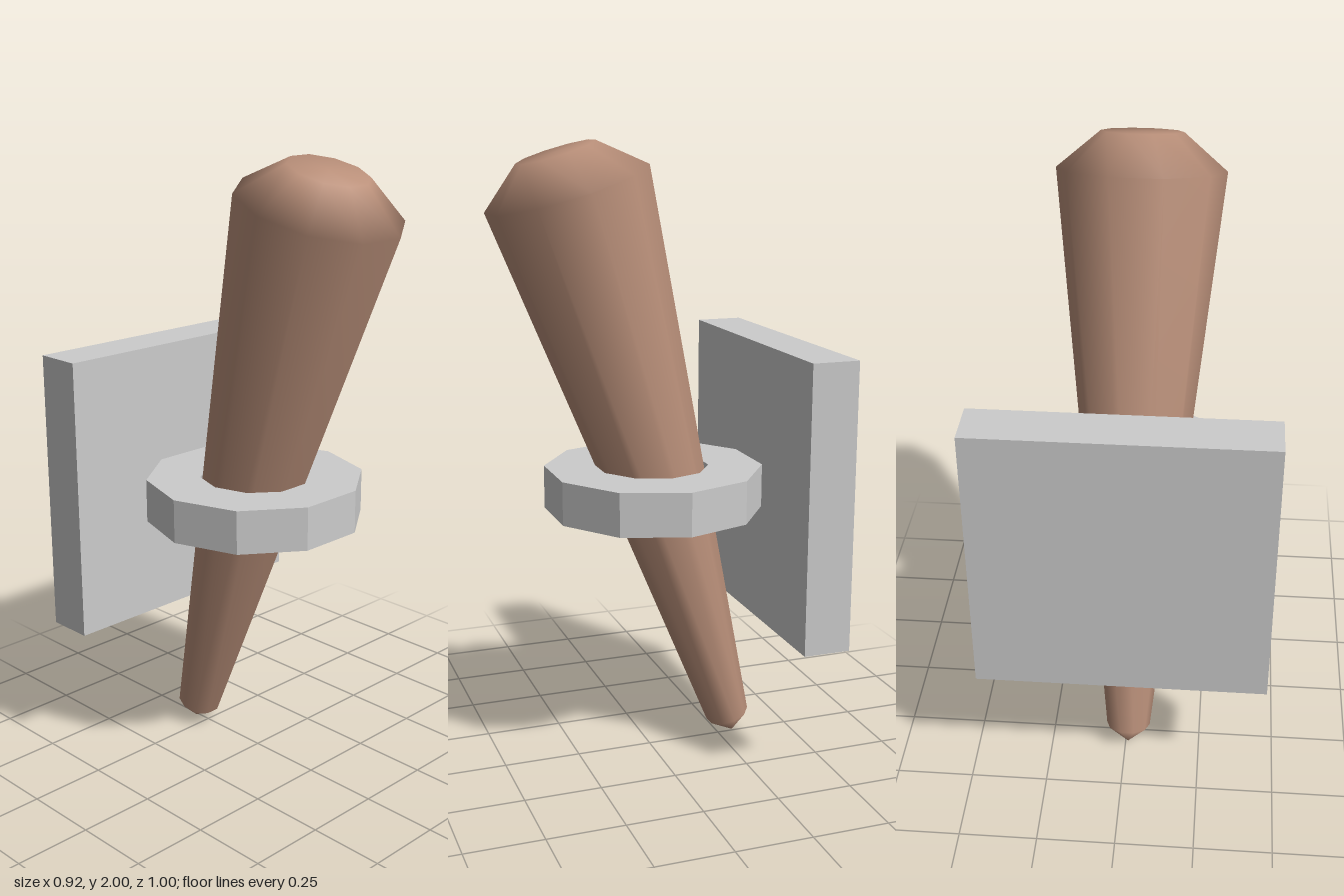
import * as THREE from 'three';

const SIDES = 10;

// Ten-sided turned form with corners on the x axis; profile is [radius, height] pairs
function turned(profile) {
  const points = profile.map(([r, y]) => new THREE.Vector2(r, y));
  return new THREE.LatheGeometry(points, SIDES, Math.PI / 2);
}

export function createModel() {
  const model = new THREE.Group();
  model.name = 'wallTorch';

  const metal = new THREE.MeshStandardMaterial({ color: 0xcccccc, flatShading: true });
  const wood = new THREE.MeshStandardMaterial({ color: 0xba907a });

  function add(name, geometry, material, x, y, z) {
    const mesh = new THREE.Mesh(geometry, material);
    mesh.name = name;
    mesh.position.set(x, y, z);
    model.add(mesh);
    return mesh;
  }

  // Square plate against the wall
  add('wallPlate', new THREE.BoxGeometry(0.92, 0.92, 0.153), metal, 0, 0.905, -0.4235);

  // Flat ring that holds the shaft
  const ring = [[0.178, 0.07], [0.178, -0.07], [0.352, -0.07], [0.352, 0.07], [0.178, 0.07]];
  add('holderRing', turned(ring), metal, 0, 0.905, -0.012);

  // Tapered shaft with pointed foot and bevelled head, leaning forward
  const shaft = [[0, 0], [0.073, 0.068], [0.261, 1.94], [0.126, 2.053], [0, 2.053]];
  const torch = add('torchShaft', turned(shaft), wood, -0.008, 0.001, -0.305);
  torch.rotation.x = THREE.MathUtils.degToRad(17);

  return model;
}
